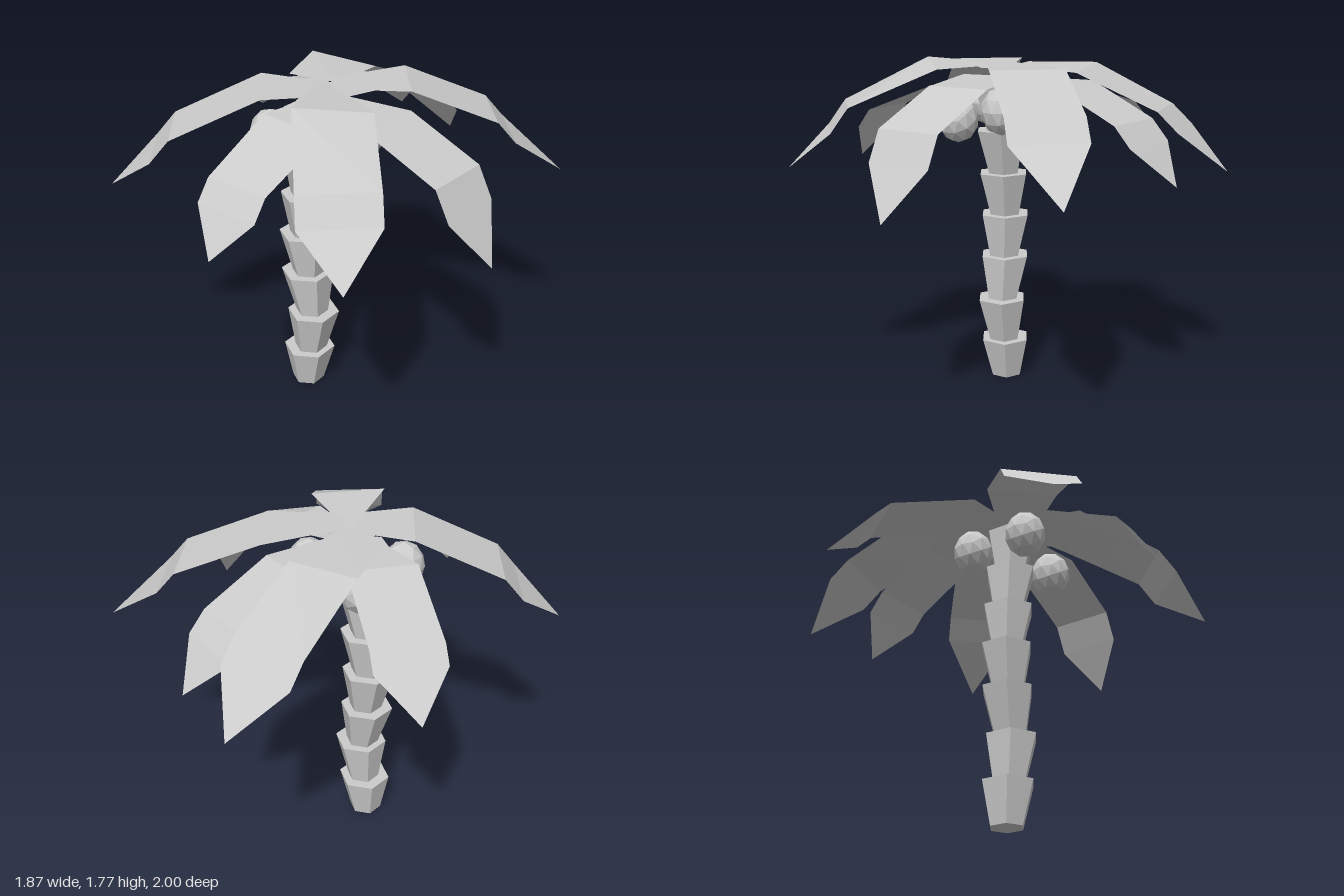
import * as THREE from 'three';

const grey = new THREE.MeshStandardMaterial({ color: 0xcccccc, flatShading: true });
const leafGrey = new THREE.MeshStandardMaterial({ color: 0xcccccc, flatShading: true, side: THREE.DoubleSide });

// One flaring hexagonal trunk ring, sheared so its top and bottom centres differ
function trunkRing(y0, y1, xBottom, xTop) {
  const h = y1 - y0;
  const geo = new THREE.CylinderGeometry(0.139, 0.087, h, 6);
  const p = geo.attributes.position;
  for (let i = 0; i < p.count; i++) {
    const t = p.getY(i) / h + 0.5;
    p.setX(i, p.getX(i) + xBottom + (xTop - xBottom) * t);
  }
  geo.translate(0, (y0 + y1) / 2, 0.157);
  geo.computeVertexNormals();
  return new THREE.Mesh(geo, grey);
}

// Drooping frond: base, shoulder, bend, corners, tip.
// bend and corner are [share of the way out, share of the height still left]
function frond({ base, baseHalf, shoulder, bend, corner, tip, half, roll = 0 }) {
  const b = new THREE.Vector3(...base);
  const s = new THREE.Vector3(...shoulder);
  const t = new THREE.Vector3(...tip);
  const side = new THREE.Vector3(s.z - t.z, 0, t.x - s.x).normalize();
  const along = ([f, k]) => new THREE.Vector3().lerpVectors(s, t, f).setY(t.y + (s.y - t.y) * k);
  const stations = [[b, baseHalf, 0], [s, half, roll], [along(bend), half, 0], [along(corner), half, 0], [t, 0, 0]];
  const verts = [];
  const index = [];
  stations.forEach(([c, w, lift], i) => {
    for (const k of [-1, 1]) verts.push(c.x + side.x * w * k, c.y + lift * k, c.z + side.z * w * k);
    if (i === 0) return;
    const a = 2 * i - 2;
    index.push(a, a + 1, a + 2);
    if (w > 0) index.push(a + 1, a + 3, a + 2);
  });
  const geo = new THREE.BufferGeometry();
  geo.setAttribute('position', new THREE.Float32BufferAttribute(verts, 3));
  geo.setIndex(index);
  geo.computeVertexNormals();
  return new THREE.Mesh(geo, leafGrey);
}

export function createModel() {
  const model = new THREE.Group();

  // Trunk: [bottom y, top y, bottom centre x, top centre x]
  const trunk = new THREE.Group();
  trunk.name = 'trunk';
  [
    [0, 0.222, -0.167, -0.153],
    [0.222, 0.464, -0.143, -0.12],
    [0.464, 0.705, -0.13, -0.155],
    [0.705, 0.935, -0.147, -0.16],
    [0.935, 1.163, -0.155, -0.142],
    [1.163, 1.395, -0.143, -0.12],
    [1.395, 1.63, -0.12, -0.1],
  ].forEach((r, i) => {
    const ring = trunkRing(...r);
    ring.name = `trunkRing${i + 1}`;
    trunk.add(ring);
  });
  model.add(trunk);

  // Coconuts under the crown
  const coconuts = new THREE.Group();
  coconuts.name = 'coconuts';
  [
    [-0.23, 1.515, -0.005], [0.12, 1.53, 0.01], [0.125, 1.475, 0.265], [-0.23, 1.52, 0.315],
  ].forEach((c, i) => {
    const nut = new THREE.Mesh(new THREE.IcosahedronGeometry(0.106, 1), grey);
    nut.scale.set(1, 1.15, 1);
    nut.position.set(...c);
    nut.name = `coconut${i + 1}`;
    coconuts.add(nut);
  });
  model.add(coconuts);

  // Upper and lower fronds around the crown
  const fronds = {
    upperFrond: [
      { base: [-0.09, 1.745, 0.065], baseHalf: 0.005, shoulder: [0.195, 1.757, 0.37], roll: 0.017,
        bend: [0.59, 0.62], corner: [0.71, 0.38], tip: [0.68, 1.25, 0.92] },
      { base: [0.06, 1.735, 0.08], baseHalf: 0.07, shoulder: [-0.275, 1.75, 0.325],
        bend: [0.575, 0.61], corner: [0.705, 0.38], tip: [-0.84, 1.26, 0.82] },
      { base: [-0.02, 1.755, 0.1], baseHalf: 0.08, shoulder: [0.215, 1.75, -0.19],
        bend: [0.525, 0.67], corner: [0.64, 0.46], tip: [0.82, 1.25, -0.7] },
      { base: [-0.17, 1.74, 0.07], baseHalf: 0.13, shoulder: [-0.245, 1.73, -0.275], roll: -0.012,
        bend: [0.56, 0.62], corner: [0.7, 0.42], tip: [-0.37, 1.24, -1] },
    ],
    lowerFrond: [
      { base: [-0.04, 1.68, 0.11], baseHalf: 0.07, shoulder: [0.33, 1.66, 0.13],
        bend: [0.65, 0.71], corner: [0.78, 0.44], tip: [0.93, 1.11, 0.155] },
      { base: [-0.02, 1.68, 0.06], baseHalf: 0.07, shoulder: [0, 1.65, 0.42], roll: 0.018,
        bend: [0.66, 0.64], corner: [0.79, 0.42], tip: [0, 1.205, 1] },
      { base: [-0.07, 1.68, 0.1], baseHalf: 0.07, shoulder: [-0.05, 1.67, -0.3],
        bend: [0.59, 0.64], corner: [0.74, 0.42], tip: [0.04, 1.225, -0.89] },
      { base: [-0.01, 1.68, 0.15], baseHalf: 0.07, shoulder: [-0.355, 1.67, 0.005],
        bend: [0.63, 0.62], corner: [0.73, 0.42], tip: [-0.935, 1.285, -0.39] },
    ],
  };
  const halfWidths = { upperFrond: 0.184, lowerFrond: 0.17 };
  const crown = new THREE.Group();
  crown.name = 'crown';
  for (const [name, list] of Object.entries(fronds)) {
    list.forEach((f, i) => {
      const leaf = frond({ ...f, half: halfWidths[name] });
      leaf.name = `${name}${i + 1}`;
      crown.add(leaf);
    });
  }
  model.add(crown);

  return model;
}
